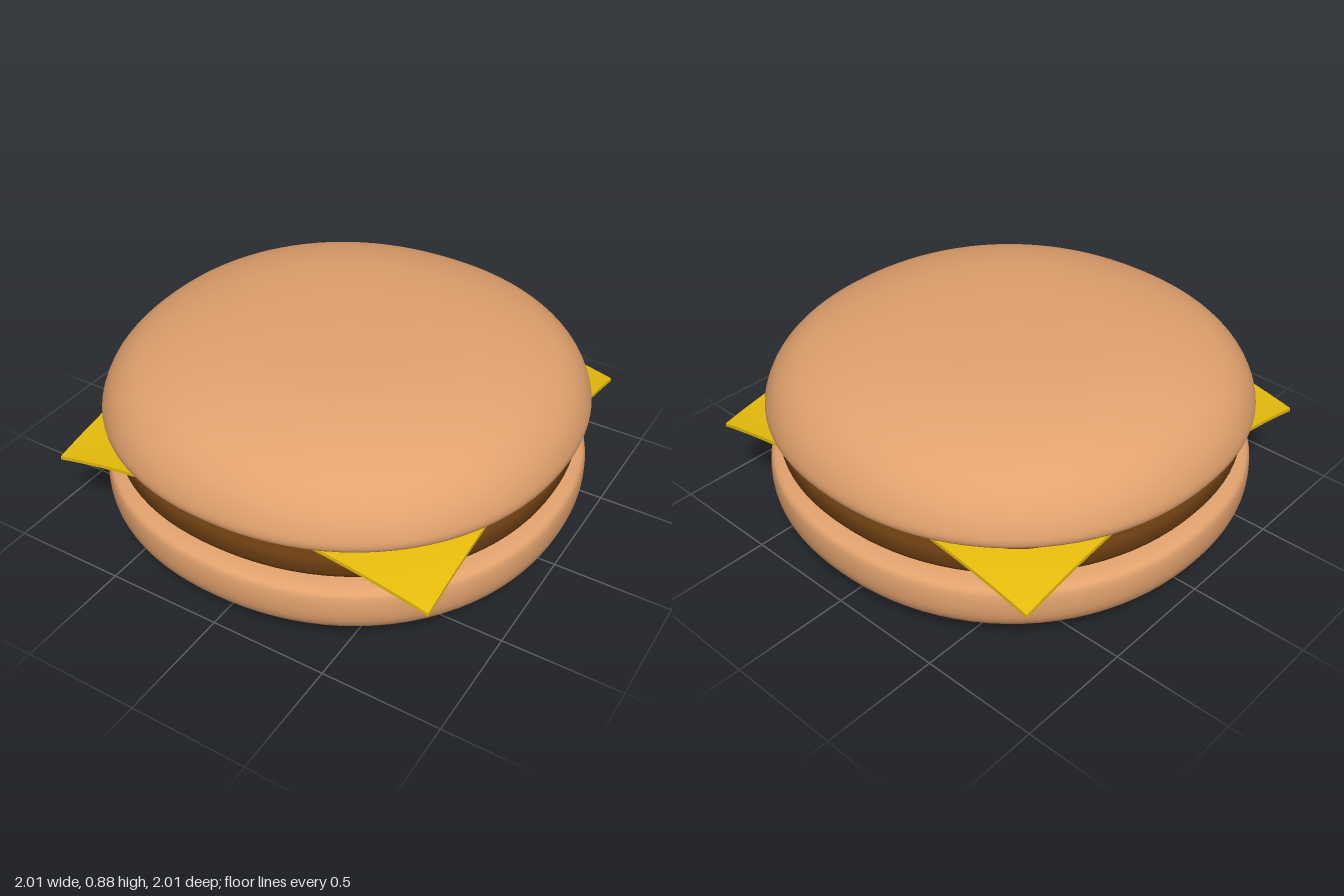
import * as THREE from 'three';
import { mergeVertices } from 'three/addons/utils/BufferGeometryUtils.js';

// Turned solid from a bottom-to-top profile, with a slightly squarish outline
function roundedDisc(name, color, profile) {
  const curve = new THREE.CatmullRomCurve3(
    profile.map(([r, y]) => new THREE.Vector3(r, y, 0)), false, 'centripetal');
  const points = curve.getPoints(72).map(p => new THREE.Vector2(Math.max(0, p.x), p.y));
  points[0].x = points[points.length - 1].x = 0;
  const lathe = new THREE.LatheGeometry(points, 96);
  const pos = lathe.attributes.position;
  const n = 2.14;
  for (let i = 0; i < pos.count; i++) {
    const x = pos.getX(i), z = pos.getZ(i), r = Math.hypot(x, z);
    if (r < 1e-6) continue;
    const s = (Math.abs(x / r) ** n + Math.abs(z / r) ** n) ** (-1 / n);
    pos.setX(i, x * s);
    pos.setZ(i, z * s);
  }
  lathe.deleteAttribute('uv');
  lathe.deleteAttribute('normal');
  const geometry = mergeVertices(lathe, 1e-5);
  geometry.computeVertexNormals();
  const mesh = new THREE.Mesh(geometry, new THREE.MeshStandardMaterial({ color }));
  mesh.name = name;
  return mesh;
}

// Square slice whose four corners droop
function cheeseSlice() {
  const half = 0.857, drop = 0.105;
  const geometry = new THREE.BoxGeometry(2 * half, 0.016, 2 * half, 32, 1, 32);
  const pos = geometry.attributes.position;
  for (let i = 0; i < pos.count; i++) {
    const u = pos.getX(i) / half, v = pos.getZ(i) / half;
    pos.setY(i, pos.getY(i) + 0.475 - drop * u * u * v * v);
  }
  geometry.computeVertexNormals();
  const mesh = new THREE.Mesh(geometry, new THREE.MeshStandardMaterial({ color: 0xe6bc0c }));
  mesh.name = 'cheeseSlice';
  return mesh;
}

export function createModel() {
  const group = new THREE.Group();
  group.name = 'cheeseburger';
  const bun = 0xe2a26e;

  group.add(roundedDisc('bottomBun', bun, [
    [0, 0], [0.3, 0.005], [0.55, 0.016], [0.75, 0.038], [0.89, 0.075], [0.97, 0.12],
    [1, 0.18], [1, 0.285], [0.985, 0.308], [0.94, 0.322], [0.85, 0.327], [0.4, 0.328], [0, 0.328],
  ]));

  group.add(roundedDisc('patty', 0x663a10, [
    [0, 0.328], [0.5, 0.328], [0.85, 0.329], [0.92, 0.336], [0.95, 0.355],
    [0.957, 0.39], [0.95, 0.425], [0.92, 0.445], [0.85, 0.459], [0.5, 0.465], [0, 0.466],
  ]));

  group.add(cheeseSlice());

  group.add(roundedDisc('topBun', bun, [
    [0, 0.486], [0.5, 0.486], [0.85, 0.49], [0.95, 0.498], [0.99, 0.512], [1, 0.54],
    [0.985, 0.6], [0.945, 0.67], [0.87, 0.74], [0.75, 0.797], [0.55, 0.848], [0.3, 0.874], [0, 0.881],
  ]));

  return group;
}
